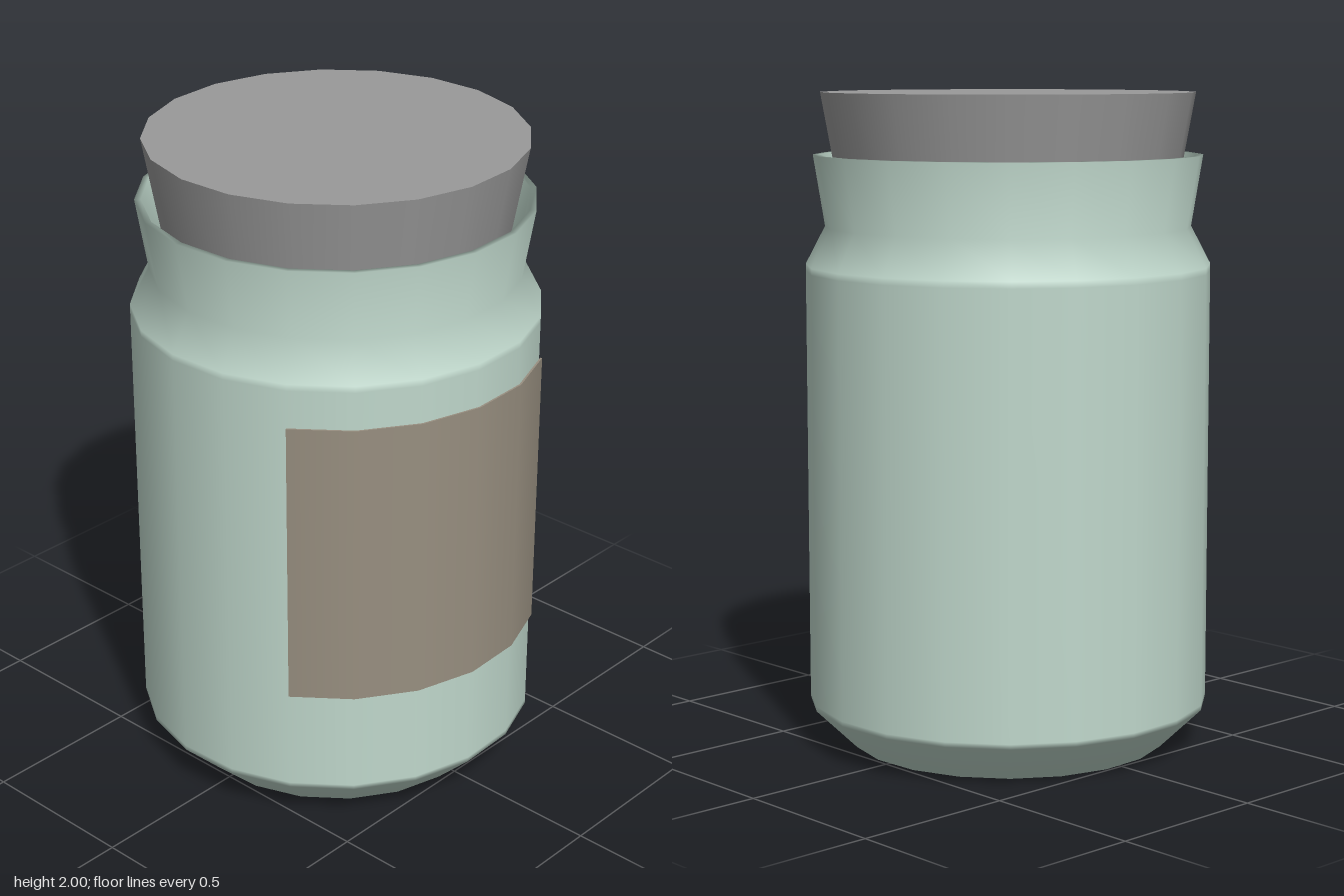
import * as THREE from 'three';
import { mergeGeometries } from 'three/addons/utils/BufferGeometryUtils.js';

const SIDES = 20;
const START = THREE.MathUtils.degToRad(-6.5);
const STEP = (Math.PI * 2) / SIDES;

const material = (color) => new THREE.MeshStandardMaterial({ color });

// Turned solid; the profile runs from bottom centre outwards and up
function lathe(profile, sides = SIDES, start = START) {
  const points = profile.map(([r, y]) => new THREE.Vector2(r, y));
  return new THREE.LatheGeometry(points, sides, start, sides * STEP);
}

// Same, but with a sharp edge at every profile point
function sharpLathe(profile, sides, start) {
  const bands = profile.slice(1).map((p, i) => lathe([profile[i], p], sides, start));
  return mergeGeometries(bands);
}

function part(name, geometry, color) {
  const mesh = new THREE.Mesh(geometry, material(color));
  mesh.name = name;
  return mesh;
}

function makeLabel() {
  const inner = 0.621, outer = 0.627, low = 0.455, high = 1.345;
  const sides = 5, start = START - 3 * STEP;
  const band = sharpLathe(
    [[inner, low], [outer, low], [outer, high], [inner, high], [inner, low]], sides, start);
  // Thin end faces
  const ends = [[start, -Math.PI / 2], [start + sides * STEP, Math.PI / 2]].map(([a, turn]) => {
    const r = (inner + outer) / 2;
    return new THREE.PlaneGeometry(outer - inner, high - low)
      .rotateY(a + turn)
      .translate(r * Math.sin(a), (low + high) / 2, r * Math.cos(a));
  });
  return part('label', mergeGeometries([band, ...ends]), 0x988f80);
}

export function createModel() {
  const group = new THREE.Group();
  group.name = 'jar';

  // Hollow body: bevelled foot, straight wall, shoulder, flared neck, inner wall
  const body = lathe([
    [0, 0], [0.47, 0], [0.49, 0], [0.618, 0.125], [0.618, 0.14],
    [0.618, 1.46], [0.618, 1.48], [0.558, 1.595], [0.593, 1.812],
    [0.574, 1.812], [0.538, 1.6], [0.595, 1.47], [0.595, 0.135],
    [0.48, 0.025], [0, 0.025],
  ]);
  group.add(part('jarBody', body, 0xc0d8cc));

  // Tapered stopper reaching down into the neck
  const stopper = sharpLathe([[0, 1.6], [0.497, 1.6], [0.569, 2], [0, 2]]);
  group.add(part('stopper', stopper, 0x999999));

  group.add(makeLabel());
  group.children.forEach((mesh) => { mesh.position.z = -0.004; });
  return group;
}
